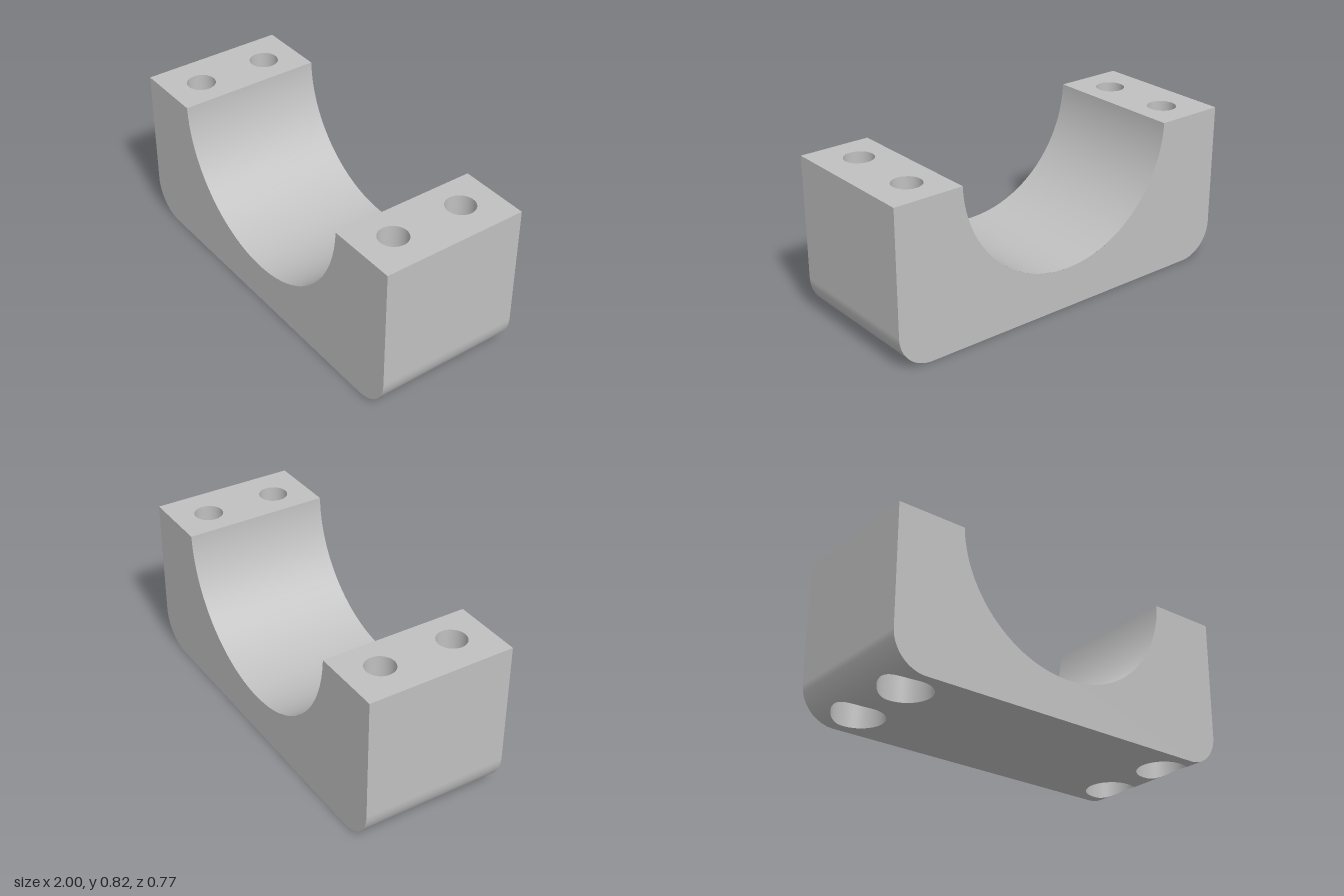
import * as THREE from 'three';
import { ParametricGeometry } from 'three/addons/geometries/ParametricGeometry.js';

const H = 0.825, D = 0.385;                 // height, half depth
const FIL = 0.18, FX = 1 - FIL;             // bottom edge fillet and where it starts
const SR = 0.63, SY = 0.847;                // saddle radius and centre height
const HX = 0.8, HZ = 0.195;                 // bolt hole centres
const BORE = 0.075, CB = 0.131, CB_TOP = 0.4; // bore, counterbore radius and depth
const CELL = 0.6;                           // inner edge of the drilled bottom zone

export function createModel() {
  const grey = new THREE.MeshStandardMaterial({ color: 0xc0c0c0 });
  grey.name = 'grey';
  const model = new THREE.Group();
  model.name = 'saddleClampBlock';

  const add = (parent, name, geometry) => {
    const mesh = new THREE.Mesh(geometry, grey);
    mesh.name = name;
    parent.add(mesh);
    return mesh;
  };
  const surface = (fn, nu, nv) => new ParametricGeometry((u, v, t) => t.set(...fn(u, v)), nu, nv);

  // Height of the underside at x, and conversion to and from length along it
  const underside = x => (x <= FX ? 0 : FIL - Math.sqrt(Math.max(0, FIL ** 2 - (x - FX) ** 2)));
  const unroll = x => (x <= FX ? x : FX + FIL * Math.asin((x - FX) / FIL));
  const roll = s => {
    if (s <= FX) return [s, 0];
    const a = (s - FX) / FIL;
    return [FX + FIL * Math.sin(a), FIL * (1 - Math.cos(a))];
  };

  // Front and back faces
  const dip = Math.asin((SY - H) / SR);
  const a0 = Math.PI + dip, a1 = 2 * Math.PI - dip;
  const profile = new THREE.Shape();
  profile.moveTo(-FX, 0);
  profile.lineTo(FX, 0);
  profile.absarc(FX, FIL, FIL, -Math.PI / 2, 0, false);
  profile.lineTo(1, H);
  profile.absarc(0, SY, SR, a1, a0, true);
  profile.lineTo(-1, H);
  profile.lineTo(-1, FIL);
  profile.absarc(-FX, FIL, FIL, Math.PI, 1.5 * Math.PI, false);
  const face = new THREE.ShapeGeometry(profile, 64);
  add(model, 'frontFace', face).position.z = D;
  const back = add(model, 'backFace', face);
  back.rotation.y = Math.PI;
  back.position.z = -D;

  // Half-round saddle
  add(model, 'saddle', surface((u, v) => {
    const a = a0 + (a1 - a0) * u;
    return [SR * Math.cos(a), SY + SR * Math.sin(a), D - 2 * D * v];
  }, 64, 1));

  // Flat middle of the underside
  add(model, 'underside', new THREE.PlaneGeometry(2 * CELL, 2 * D).rotateX(Math.PI / 2));

  // One drilled end, repeated by a half turn
  const end = new THREE.Group();
  end.name = 'leftEnd';

  const inner = SR * Math.cos(dip);
  const pad = new THREE.Shape();
  pad.moveTo(inner, -D);
  pad.lineTo(1, -D);
  pad.lineTo(1, D);
  pad.lineTo(inner, D);
  for (const s of [-1, 1]) {
    pad.holes.push(new THREE.Path().absarc(HX, s * HZ, BORE, 0, 2 * Math.PI, true));
  }
  add(end, 'topPad', new THREE.ShapeGeometry(pad, 48).rotateX(-Math.PI / 2)).position.y = H;

  add(end, 'sideWall', new THREE.PlaneGeometry(2 * D, H - FIL).rotateY(Math.PI / 2))
    .position.set(1, (H + FIL) / 2, 0);

  const far = unroll(1);
  const corners = [[far, 0], [far, D], [CELL, D], [CELL, 0]];
  for (const s of [-1, 1]) {
    const ring = (u, r) => {
      const a = 2 * Math.PI * u;
      return [HX + r * Math.cos(a), s * HZ + r * Math.sin(a)];
    };

    // Underside and fillet around the counterbore mouth
    add(end, 'drilledUnderside', surface((u, v) => {
      const w = s > 0 ? u : 1 - u;
      const k = Math.min(3, Math.floor(w * 4)), f = w * 4 - k;
      const p = corners[k], q = corners[(k + 1) % 4];
      const a = 2 * Math.PI * w - Math.PI / 4;
      const hole = [unroll(HX + CB * Math.cos(a)), HZ + CB * Math.sin(a)];
      const [m, z] = [0, 1].map(i => (p[i] + (q[i] - p[i]) * f) * (1 - v) + hole[i] * v);
      const [x, y] = roll(m);
      return [x, y, s * z];
    }, 64, 16));

    // Counterbore wall, its shoulder, and the bolt bore above
    add(end, 'counterbore', surface((u, v) => {
      const [x, z] = ring(u, CB);
      const y = underside(x);
      return [x, y + (CB_TOP - y) * v, z];
    }, 64, 1));
    add(end, 'shoulder', surface((u, v) => {
      const [x, z] = ring(u, CB + (BORE - CB) * v);
      return [x, CB_TOP, z];
    }, 64, 1));
    add(end, 'boltBore', surface((u, v) => {
      const [x, z] = ring(u, BORE);
      return [x, CB_TOP + (H - CB_TOP) * v, z];
    }, 64, 1));
  }

  const other = end.clone();
  other.name = 'rightEnd';
  other.rotation.y = Math.PI;
  model.add(end, other);
  return model;
}
